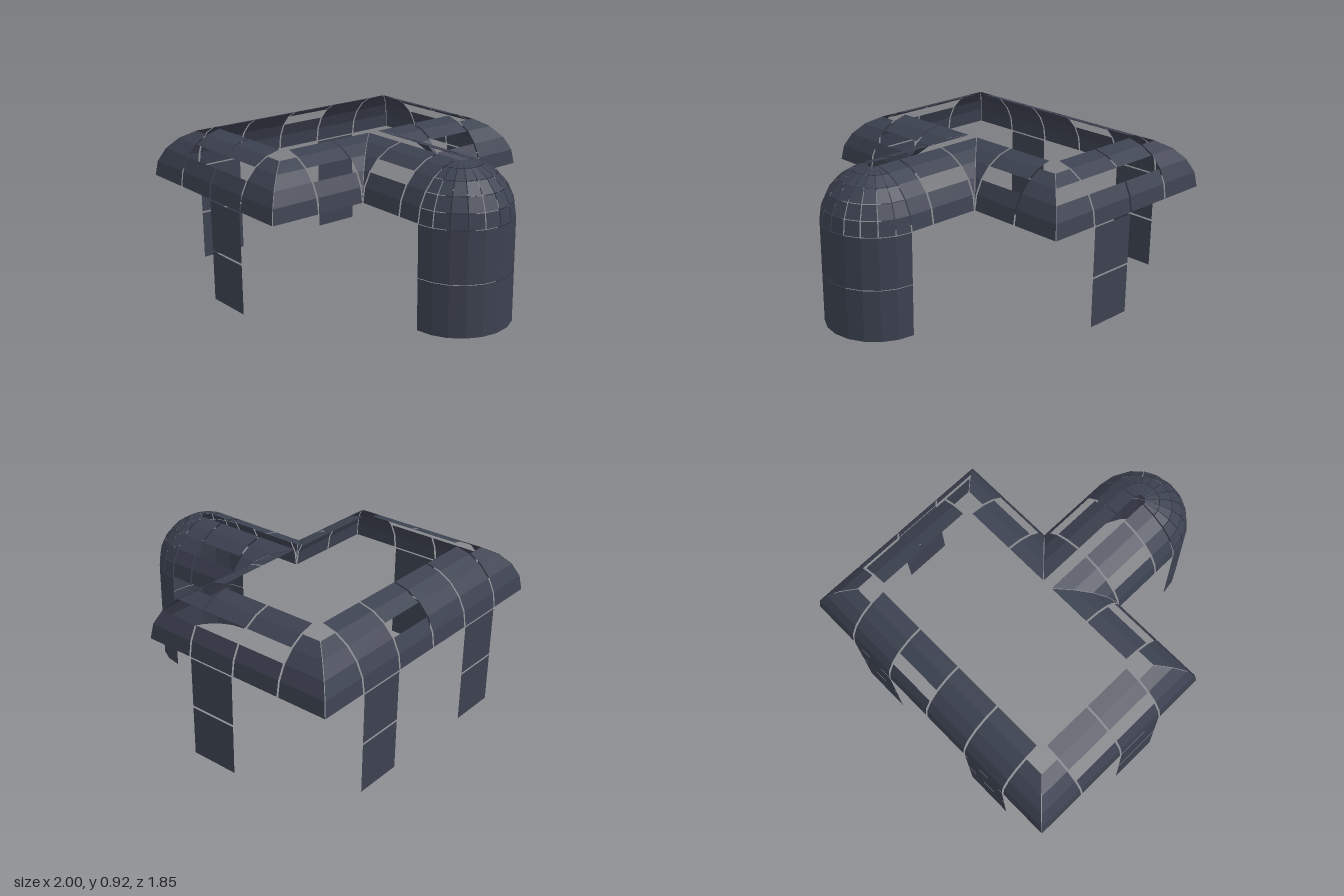
import * as THREE from 'three';

const P = 2 / 6.5;            // grid cell, also the roof radius
const G = 0.006;              // half the joint between panels
const EAVE = 2 * P;           // height where the curved roof begins
const STEP = THREE.MathUtils.degToRad(16.8);
const LX = -1 + P, RX = -1 + 3 * P, CZ = 2 * P, DX = 1 - P; // roof centre lines
const FULL = [0, 1, 2, 3, 4], WINDOW = [0, 1, 3, 4], CORNER = [0, 1, 2, 3];

export function createModel() {
  const model = new THREE.Group();
  const slate = new THREE.MeshStandardMaterial({ color: 0x3d4251, side: THREE.DoubleSide });
  slate.name = 'darkSlate';

  // Flat-shaded mesh from a list of four-cornered faces
  function addFaces(name, quads) {
    const pos = [];
    for (const [a, b, c, d] of quads) pos.push(...a, ...b, ...c, ...a, ...c, ...d);
    const geo = new THREE.BufferGeometry();
    geo.setAttribute('position', new THREE.Float32BufferAttribute(pos, 3));
    geo.computeVertexNormals();
    const mesh = new THREE.Mesh(geo, slate);
    mesh.name = name;
    model.add(mesh);
  }

  // Curved roof panel: c = origin on the centre line, u = outward, v = along (all [x, z]);
  // s0 and s1 give the two ends as functions of the distance from the centre line
  function roofPanel(name, c, u, v, s0, s1, rows) {
    const flip = u[0] * v[1] - u[1] * v[0] > 0;
    const point = (row, end) => {
      const d = P * Math.cos(row * STEP);
      const s = end(d);
      return [c[0] + u[0] * d + v[0] * s, EAVE + 0.003 + (P - 0.003) * Math.sin(row * STEP), c[1] + u[1] * d + v[1] * s];
    };
    addFaces(name, rows.map((r) => {
      const q = [point(r, s0), point(r + 1, s0), point(r + 1, s1), point(r, s1)];
      return flip ? q.reverse() : q;
    }));
  }
  const straight = (name, c, u, v, length, rows) =>
    roofPanel(name, c, u, v, () => G, () => length - G, rows);
  const hip = (name, c, u, v, rows) =>
    roofPanel(name, c, u, v, () => G, (d) => Math.max(G, d - 0.003), rows);
  const valley = (name, c, u, v) =>
    roofPanel(name, c, u, v, (d) => Math.min(P - G, d + 0.003), () => P - G, FULL);

  // Upright wall panels in two storeys
  function wall(name, x0, z0, x1, z1) {
    addFaces(name, [0, 1].map((i) => {
      const lo = i * P + G, hi = (i + 1) * P - G;
      return [[x0, lo, z0], [x1, lo, z1], [x1, hi, z1], [x0, hi, z0]];
    }));
  }

  for (const side of [1, -1]) {
    const out = [0, side], end = side > 0 ? 'front' : 'back';
    // Front and back roofs with window strips
    for (let i = 0; i < 2; i++) straight(end + 'RoofPanel', [LX + i * P, side * CZ], out, [1, 0], P, WINDOW);
    // Hipped outer corners
    hip(end + 'OuterCorner', [LX, side * CZ], out, [-1, 0], CORNER);
    hip(end + 'OuterCorner', [LX, side * CZ], [-1, 0], out, CORNER);
    hip(end + 'InnerCorner', [RX, side * CZ], out, [1, 0], side > 0 ? CORNER : [0, 1, 3]);
    hip(end + 'InnerCorner', [RX, side * CZ], [1, 0], out, CORNER);
    // Long roof on the right, with one window
    for (let i = 0; i < 2; i++) {
      straight('sideRoofPanel', [LX, side * i * P], [-1, 0], out, P, side < 0 && i === 0 ? WINDOW : FULL);
    }
    // Long roof on the left, folding into the wing
    straight('wingSideRoofPanel', [RX, side * P], [1, 0], out, P, WINDOW);
    valley('valleyRoof', [RX, 0], [1, 0], out);
    valley('valleyRoof', [RX, 0], out, [1, 0]);
    // Wing roof
    straight('wingRoofPanel', [RX + P, 0], out, [1, 0], P, WINDOW);
    straight('wingHalfPanel', [RX + 2 * P, 0], out, [1, 0], P / 2, FULL);
    // Standing walls
    if (side > 0) wall('frontWall', LX + P + G, 3 * P, LX + 2 * P - G, 3 * P);
    else wall('backWall', LX + 2 * P - G, -3 * P, LX + P + G, -3 * P);
    const za = side * P, zb = side * 2 * P;
    wall('sideWall', -1, Math.min(za, zb) + G, -1, Math.max(za, zb) - G);
  }

  // Half dome of separate tiles
  const wedge = Math.PI / 10, dome = [];
  const onDome = (a, t) => [
    DX + P * Math.cos(t) * Math.cos(a), EAVE + P * Math.sin(t), -P * Math.cos(t) * Math.sin(a)];
  for (let i = 0; i < 10; i++) {
    const a0 = -Math.PI / 2 + i * wedge + 0.011, a1 = a0 + wedge - 0.022;
    for (const r of FULL) {
      const t0 = r * STEP + 0.007, t1 = (r + 1) * STEP - 0.007;
      dome.push([onDome(a0, t0), onDome(a1, t0), onDome(a1, t1), onDome(a0, t1)]);
    }
  }
  addFaces('halfDome', dome);

  // Round wall under the dome
  const round = [];
  for (let i = 0; i < 10; i++) {
    const a0 = -Math.PI / 2 + i * wedge, a1 = a0 + wedge;
    const at = (a, y) => [DX + P * Math.cos(a), y, -P * Math.sin(a)];
    for (const [lo, hi] of [[0, P - 0.002], [P + 0.002, EAVE - 0.002]]) {
      round.push([at(a0, lo), at(a1, lo), at(a1, hi), at(a0, hi)]);
    }
  }
  addFaces('roundWall', round);
  return model;
}
